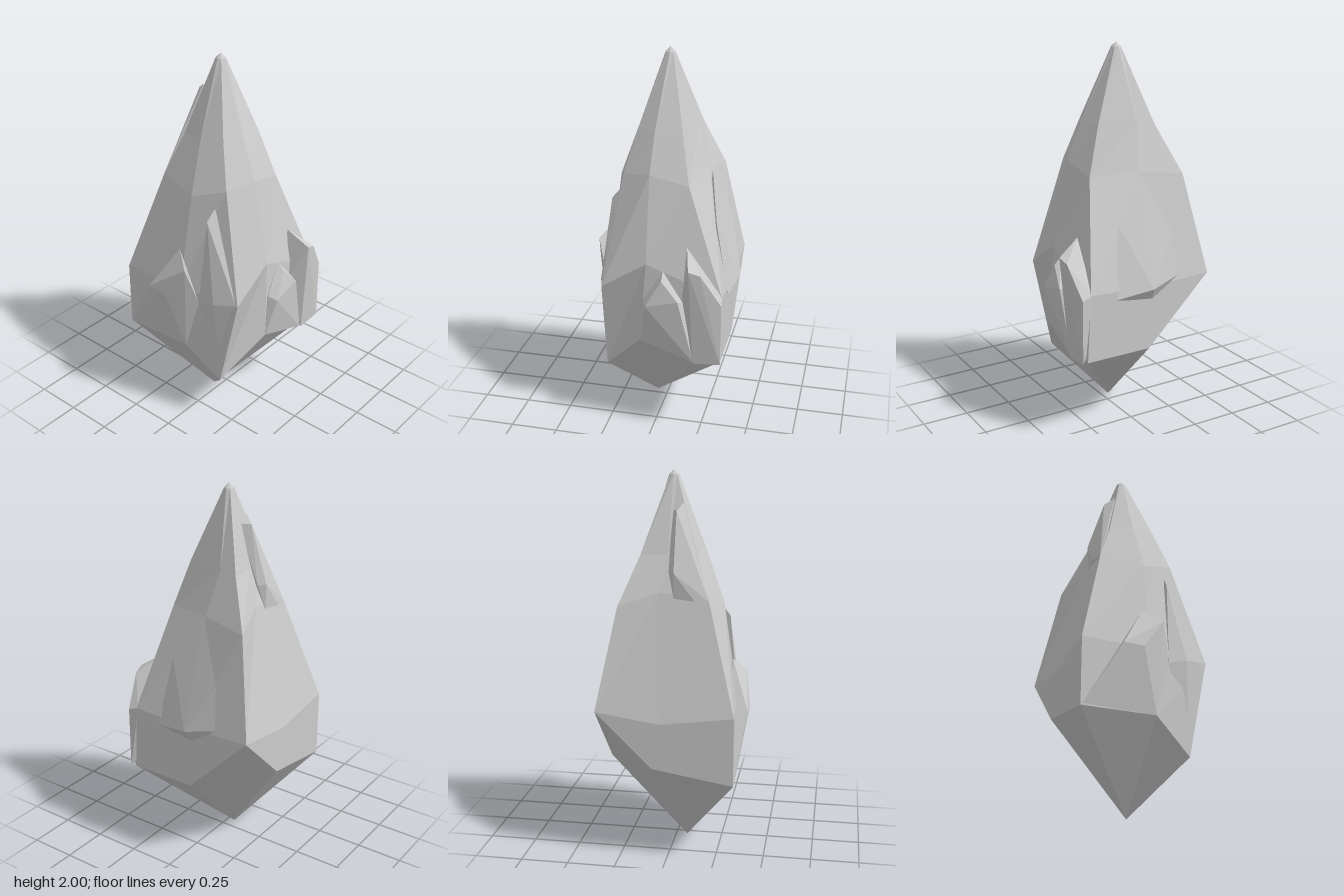
import * as THREE from 'three';
import { ConvexGeometry } from 'three/addons/geometries/ConvexGeometry.js';

const material = new THREE.MeshStandardMaterial({ color: 0xcccccc, flatShading: true });

const toVectors = (points) => points.map((p) => new THREE.Vector3(...p));

// Lofts closed rings of equal length, closed by a point at each end.
function loftGeometry(bottom, rings, top) {
  const n = rings[0].length;
  const out = [];
  const tri = (...corners) => corners.forEach((c) => out.push(...c));
  for (let i = 0; i < n; i++) {
    const j = (i + 1) % n;
    tri(bottom, rings[0][j], rings[0][i]);
    for (let r = 0; r < rings.length - 1; r++) {
      const lo = rings[r], hi = rings[r + 1];
      tri(lo[i], lo[j], hi[j]);
      tri(lo[i], hi[j], hi[i]);
    }
    const last = rings[rings.length - 1];
    tri(last[i], last[j], top);
  }
  const g = new THREE.BufferGeometry();
  g.setAttribute('position', new THREE.Float32BufferAttribute(out, 3));
  g.computeVertexNormals();
  return g;
}

export function createModel() {
  const group = new THREE.Group();
  const add = (name, geometry) => {
    const mesh = new THREE.Mesh(geometry, material);
    mesh.name = name;
    group.add(mesh);
  };

  // Each ring runs: front right, front, front left, left, back left, back, back right, right
  const girdle = [
    [-0.29, 0.28, 0.2], [-0.07, 0.52, 0.33], [0.36, 0.44, 0.33], [0.36, 0.44, -0.04],
    [0.365, 0.8, -0.4], [0.07, 0.51, -0.4], [-0.35, 0.44, -0.4], [-0.34, 0.45, 0],
  ];
  const shoulder = [
    [-0.28, 0.8, 0.31], [-0.04, 0.95, 0.31], [0.36, 0.8, 0.31], [0.36, 0.78, -0.04],
    [0.365, 0.8, -0.4], [0.03, 0.75, -0.4], [-0.35, 0.8, -0.4], [-0.33, 0.8, -0.04],
  ];
  const middle = [
    [-0.19, 1.38, 0.16], [-0.04, 1.4, 0.22], [0.16, 1.35, 0.2], [0.22, 1.36, -0.05],
    [0.26, 1.33, -0.3], [0.05, 1.4, -0.24], [-0.2, 1.36, -0.25], [-0.25, 1.32, -0.02],
  ];
  const neck = [
    [-0.13, 1.6, 0.09], [-0.03, 1.6, 0.14], [0.11, 1.6, 0.12], [0.15, 1.59, -0.09],
    [0.16, 1.58, -0.19], [0.02, 1.58, -0.18], [-0.13, 1.58, -0.17], [-0.15, 1.6, -0.04],
  ];
  const tip = girdle.map((_, i) => {
    const a = Math.PI * 0.75 - i * Math.PI / 4;
    return [0.01 - 0.026 * Math.cos(a + Math.PI), 1.975, -0.045 + 0.026 * Math.sin(a)];
  });
  // Order the tip ring from the front right corner, matching the others
  tip.forEach((p, i) => {
    const a = -Math.PI * 0.75 + i * Math.PI / 4;
    p[0] = 0.01 + 0.026 * Math.cos(a);
    p[2] = -0.045 - 0.026 * Math.sin(a);
  });
  add('crystalBody', loftGeometry([-0.06, 0, -0.04], [girdle, shoulder, middle, neck, tip], [0.01, 2, -0.045]));

  // Shards growing out of the faces
  const shards = {
    leftShard: [
      [0.235, 1.36, -0.05], [0.29, 1.12, 0.11], [0.365, 0.75, 0.16], [0.4, 0.78, -0.04],
      [0.365, 0.82, -0.21], [0.33, 1.05, -0.19], [0.35, 0.7, -0.06], [0.2, 0.85, -0.04],
    ],
    rightShard: [
      [-0.305, 1.02, -0.06], [-0.37, 0.95, 0.03], [-0.4, 0.78, -0.09], [-0.4, 0.78, -0.2],
      [-0.35, 0.45, -0.39], [-0.34, 0.45, 0], [-0.32, 0.75, 0.08], [-0.2, 0.7, -0.1],
    ],
    rightFrontShard: [
      [-0.21, 1.29, 0.11], [-0.27, 1.22, 0.1], [-0.32, 0.78, 0.18], [-0.32, 0.75, 0.08],
      [-0.285, 0.32, 0.2], [-0.28, 0.8, 0.3], [-0.15, 0.8, 0.12],
    ],
    frontShard: [
      [0.05, 0.92, 0.31], [0.05, 0.88, 0.35], [-0.03, 0.74, 0.375], [0.14, 0.78, 0.37],
      [-0.05, 0.76, 0.33], [0.16, 0.76, 0.33], [-0.07, 0.52, 0.33], [0.22, 0.43, 0.35], [0.05, 0.6, 0.2],
    ],
    leftFrontShard: [
      [0.17, 1.05, 0.28], [0.2, 0.97, 0.4], [0.26, 0.95, 0.39], [0.365, 0.78, 0.36],
      [0.365, 0.44, 0.36], [0.22, 0.43, 0.36], [0.15, 0.78, 0.31], [0.36, 0.8, 0.3], [0.25, 0.6, 0.2],
    ],
    backShard: [
      [-0.05, 1.84, -0.11], [-0.02, 1.8, -0.16], [0.01, 1.8, -0.1], [-0.02, 1.5, -0.255],
      [0.01, 1.5, -0.22], [-0.13, 1.36, -0.26], [-0.2, 1.36, -0.25], [-0.02, 1.37, -0.25], [-0.05, 1.5, -0.1],
    ],
  };
  for (const [name, points] of Object.entries(shards)) {
    add(name, new ConvexGeometry(toVectors(points)));
  }
  return group;
}
